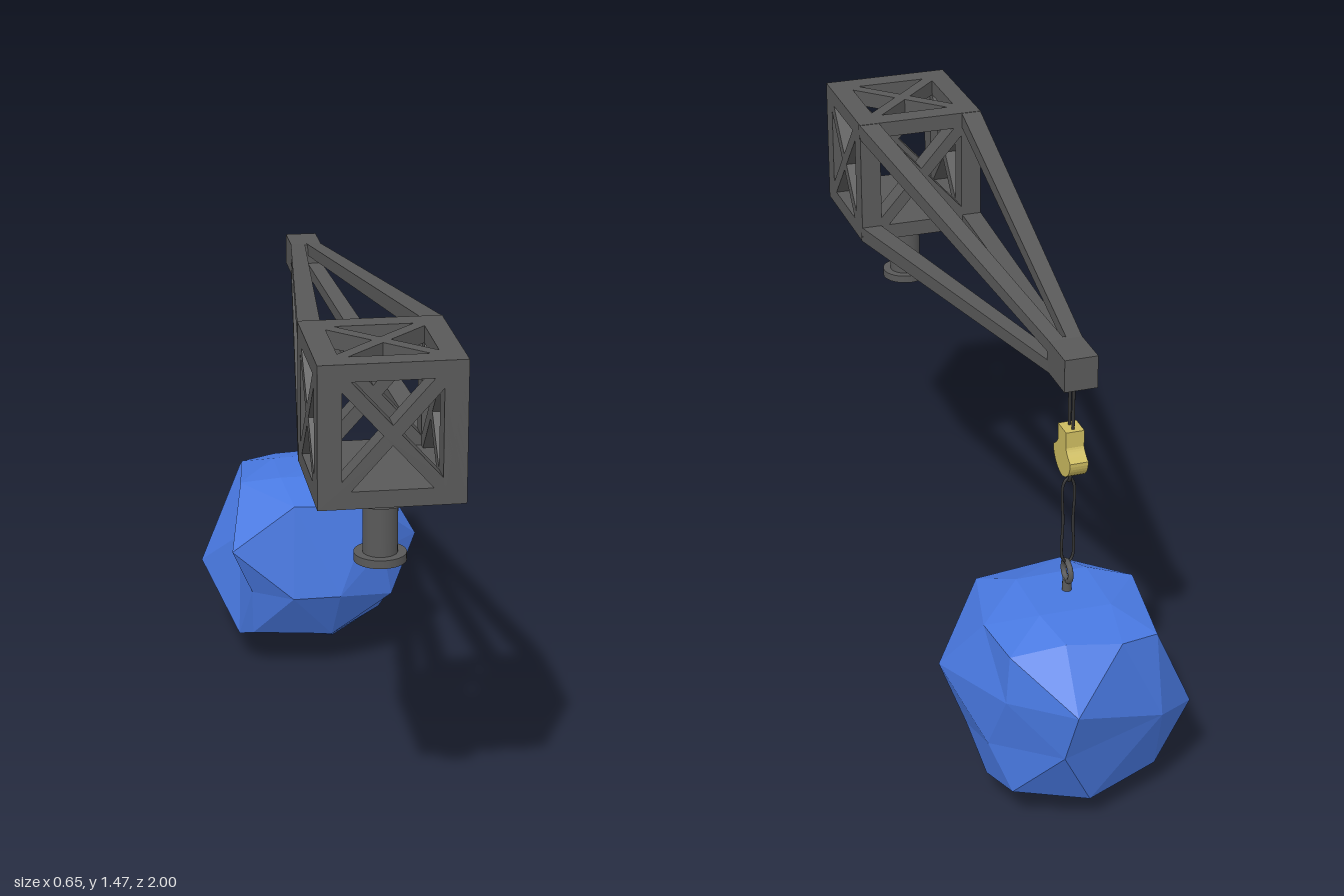
import * as THREE from 'three';
import { ConvexGeometry } from 'three/addons/geometries/ConvexGeometry.js';

const mat = (color, flatShading = false) =>
  new THREE.MeshStandardMaterial({ color, flatShading, side: THREE.DoubleSide });
const steel = mat(0x595959);
const cable = mat(0x333333);
const brass = mat(0xccbb60);
const rock = mat(0x4878e0, true);

function add(parent, name, geometry, material, x = 0, y = 0, z = 0) {
  const mesh = new THREE.Mesh(geometry, material);
  mesh.name = name;
  mesh.position.set(x, y, z);
  parent.add(mesh);
  return mesh;
}

// Square panel with four triangular openings that leave an X brace
function bracedPanel(half, a, b, depth) {
  const shape = new THREE.Shape([
    new THREE.Vector2(-half, -half), new THREE.Vector2(half, -half),
    new THREE.Vector2(half, half), new THREE.Vector2(-half, half)]);
  const bar = 0.017 * Math.hypot(a, b);
  const ex = bar / b, ey = bar / a;
  for (const s of [-1, 1]) {
    shape.holes.push(new THREE.Path([
      new THREE.Vector2(-(a - ex), s * b), new THREE.Vector2(a - ex, s * b), new THREE.Vector2(0, s * ey)]));
    shape.holes.push(new THREE.Path([
      new THREE.Vector2(s * a, -(b - ey)), new THREE.Vector2(s * a, b - ey), new THREE.Vector2(s * ex, 0)]));
  }
  return new THREE.ExtrudeGeometry(shape, { depth, bevelEnabled: false });
}

// Tapered beam from a corner of the cage to the tip block
function taperedBeam(sx, sy) {
  const geo = new THREE.BoxGeometry(1, 1, 1);
  const p = geo.attributes.position;
  for (let i = 0; i < p.count; i++) {
    const root = p.getZ(i) > 0;
    const [cx, cy, w, h, z] = root ? [0.157, 0.163, 0.058, 0.044, 0.64] : [0.024, 0.028, 0.042, 0.034, -0.61];
    p.setXYZ(i, sx * cx + p.getX(i) * w, sy * cy + p.getY(i) * h, z);
  }
  geo.computeVertexNormals();
  return geo;
}

// Boulder: hull of the corner directions, each pushed out to its own distance
function boulderGeometry() {
  const centre = new THREE.Vector3(0, 0.32, -0.68);
  const corners = [
    [-.1, .605, -.75], [.1, .61, -.75], [.1, .61, -.56], [-.1, .61, -.56],
    [-.075, .565, -.42], [.17, .55, -.43], [.23, .56, -.675], [-.22, .585, -.6],
    [.07, .585, -.87], [.21, .55, -.83], [-.08, .57, -.89], [-.19, .56, -.86],
    [.08, .44, -1], [.325, .397, -.577], [.225, .42, -.845], [-.267, .43, -.413],
    [.06, .28, -.375], [-.085, .28, -.373], [.2, .41, -.43], [-.33, .265, -.773],
    [-.205, .285, -.44], [-.2, .32, -.89], [.1, .29, -.957], [.255, .205, -.6],
    [.23, .1, -.7], [.08, .005, -.705], [-.235, .1, -.55], [.045, .12, -.46],
    [-.2, .135, -.47], [-.105, .06, -.65], [0, .09, -.887], [.2, .12, -.83],
    [-.22, .1, -.8], [.23, .25, -.45], [.25, .25, -.77], [-.22, .4, -.63],
  ].map(c => new THREE.Vector3(...c));
  const dirs = corners.map(c => c.clone().sub(centre).normalize());
  const geo = new ConvexGeometry(dirs);
  const p = geo.attributes.position;
  const v = new THREE.Vector3();
  for (let i = 0; i < p.count; i++) {
    v.fromBufferAttribute(p, i);
    let best = 0;
    dirs.forEach((d, j) => { if (d.dot(v) > dirs[best].dot(v)) best = j; });
    p.setXYZ(i, ...corners[best].toArray());
  }
  geo.computeVertexNormals();
  return geo;
}

export function createModel() {
  const model = new THREE.Group();
  const crane = new THREE.Group();
  crane.name = 'crane';
  crane.position.x = -0.012;
  model.add(crane);

  // Braced cage
  const cage = new THREE.Group();
  cage.name = 'cage';
  cage.position.set(0, 1.29, 0.815);
  crane.add(cage);
  const half = 0.185;
  for (let i = 0; i < 4; i++) {
    const geo = bracedPanel(half, 0.125, 0.14, 0.06);
    geo.translate(0, 0, half - 0.06);
    add(cage, 'cageSide', geo, steel).rotation.y = i * Math.PI / 2;
  }
  const top = bracedPanel(half, 0.125, 0.125, 0.045);
  top.translate(0, 0, half - 0.045);
  add(cage, 'cageTop', top, steel).rotation.x = -Math.PI / 2;
  add(cage, 'cageFloor', new THREE.BoxGeometry(0.37, 0.045, 0.37), steel, 0, -0.1625, 0);

  // Swivel post under the cage: radius, height, centre y
  for (const [name, r, h, y] of [
    ['postCollar', 0.083, 0.046, 1.083], ['post', 0.045, 0.16, 0.985], ['postFlange', 0.068, 0.022, 0.905]]) {
    add(crane, name, new THREE.CylinderGeometry(r, r, h, 32), steel, 0, y, 0.815);
  }

  // Boom
  const boom = new THREE.Group();
  boom.name = 'boom';
  boom.position.y = 1.29;
  crane.add(boom);
  for (const sx of [-1, 1]) for (const sy of [-1, 1]) add(boom, 'boomBeam', taperedBeam(sx, sy), steel);
  add(boom, 'boomTip', new THREE.BoxGeometry(0.09, 0.09, 0.13), steel, 0, 0, -0.662);

  // Hoist cables
  for (const z of [-0.648, -0.675]) {
    add(crane, 'hoistCable', new THREE.CylinderGeometry(0.0045, 0.0045, 0.15, 8), cable, 0, 1.173, z);
  }

  // Hook block: side profile extruded across x
  const s = new THREE.Shape();
  s.moveTo(-0.03, 0.07);
  s.lineTo(-0.03, 0.025);
  s.quadraticCurveTo(-0.035, 0.01, -0.063, -0.005);
  s.quadraticCurveTo(-0.064, -0.035, -0.035, -0.055);
  s.quadraticCurveTo(0, -0.078, 0.035, -0.055);
  s.quadraticCurveTo(0.064, -0.035, 0.063, -0.005);
  s.quadraticCurveTo(0.035, 0.01, 0.03, 0.025);
  s.lineTo(0.03, 0.07);
  const block = new THREE.ExtrudeGeometry(s, { depth: 0.05, bevelEnabled: false, curveSegments: 6 });
  block.translate(0, 0, -0.025);
  block.rotateY(-Math.PI / 2);
  add(crane, 'hookBlock', block, brass, 0, 1.038, -0.662);

  // Small hook below the block
  const hookPath = new THREE.CatmullRomCurve3([[0.985, -0.662], [0.958, -0.662], [0.944, -0.651], [0.951, -0.638]]
    .map(([y, z]) => new THREE.Vector3(0, y, z)));
  add(crane, 'hook', new THREE.TubeGeometry(hookPath, 16, 0.005, 8), cable);

  // Sling loop between the hook and the lifting ring
  const slingPath = new THREE.CatmullRomCurve3([
    [0, 0.952], [0.014, 0.935], [0.014, 0.82], [0.014, 0.71], [0, 0.693],
    [-0.014, 0.71], [-0.014, 0.82], [-0.014, 0.935]]
    .map(([x, y]) => new THREE.Vector3(x, y, -0.65)), true);
  add(crane, 'sling', new THREE.TubeGeometry(slingPath, 48, 0.004, 8, true), cable);

  // Lifting ring and its stem
  add(crane, 'liftingRing', new THREE.TorusGeometry(0.028, 0.008, 8, 24), steel, 0, 0.667, -0.65)
    .rotation.y = Math.PI / 2;
  add(crane, 'ringStem', new THREE.CylinderGeometry(0.012, 0.014, 0.05, 12), steel, 0, 0.618, -0.65);

  // Hanging load
  add(model, 'boulder', boulderGeometry(), rock);
  return model;
}
